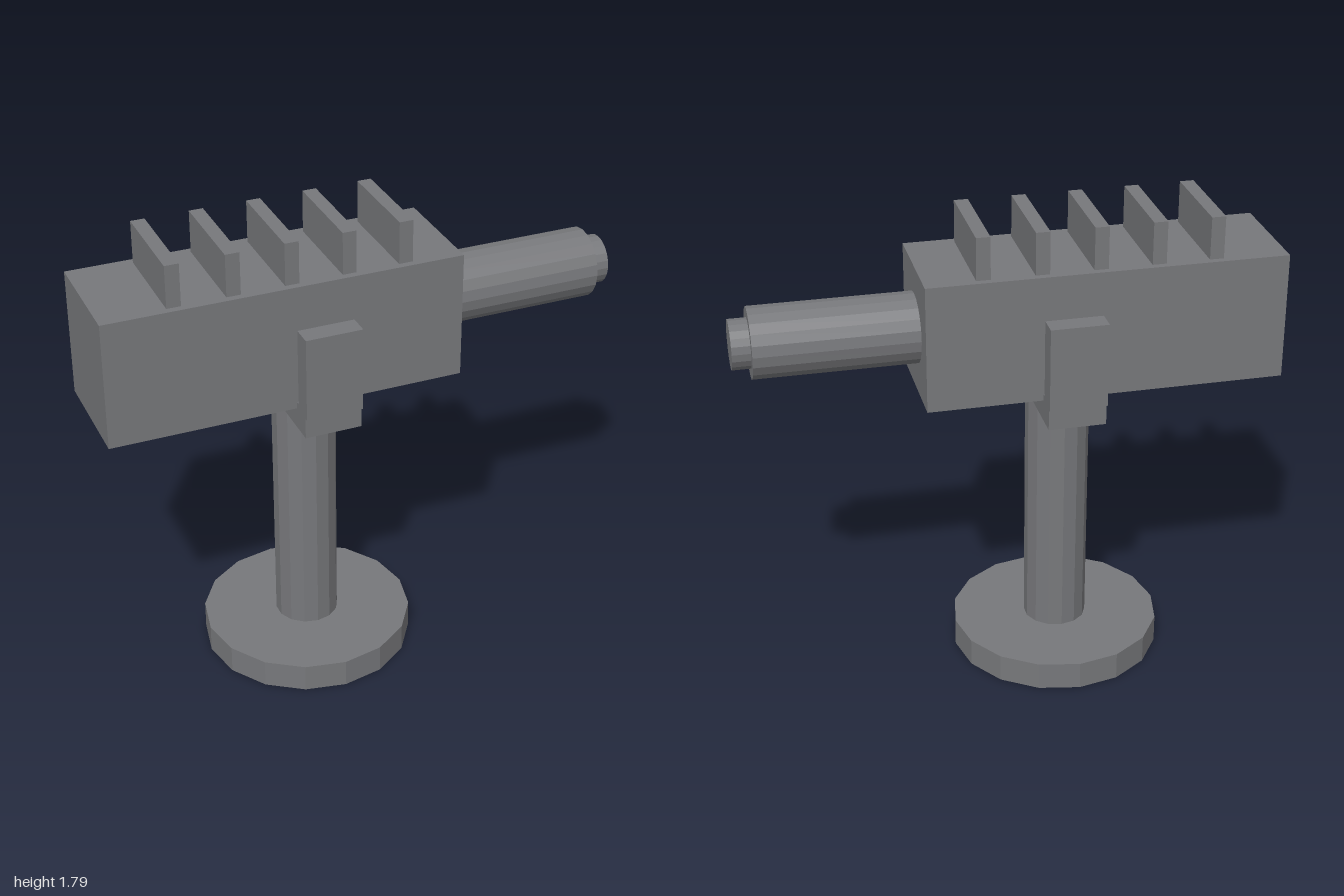
import * as THREE from 'three';

export function createModel() {
  const model = new THREE.Group();
  model.name = 'mountedDevice';
  const material = new THREE.MeshStandardMaterial({ color: 0x77787b, flatShading: true });

  function add(name, geometry, x, y, z) {
    const mesh = new THREE.Mesh(geometry, material);
    mesh.name = name;
    mesh.position.set(x, y, z);
    model.add(mesh);
    return mesh;
  }

  // Box given by its minimum and maximum on each axis
  const box = (name, [x0, x1], [y0, y1], [z0, z1]) =>
    add(name, new THREE.BoxGeometry(x1 - x0, y1 - y0, z1 - z0),
      (x0 + x1) / 2, (y0 + y1) / 2, (z0 + z1) / 2);

  // Upright cylinder on the stand axis
  const standX = -0.2;
  const upright = (name, radius, y0, y1, sides) =>
    add(name, new THREE.CylinderGeometry(radius, radius, y1 - y0, sides), standX, (y0 + y1) / 2, 0);

  // Cylinder lying along x on the barrel axis
  const barrelY = 1.388;
  const lying = (name, radius, x0, x1, sides) => {
    const geometry = new THREE.CylinderGeometry(radius, radius, x1 - x0, sides).rotateZ(-Math.PI / 2);
    return add(name, geometry, (x0 + x1) / 2, barrelY, 0);
  };

  // Stand
  upright('base', 0.4, 0, 0.107, 16);
  upright('post', 0.12, 0.1, 1.093, 14);

  // Yoke holding the body
  const yokeX = [-0.307, -0.093];
  box('yokeBar', yokeX, [1.067, 1.173], [-0.293, 0.293]);
  box('yokeArmFront', yokeX, [1.147, 1.467], [0.228, 0.307]);
  box('yokeArmBack', yokeX, [1.147, 1.467], [-0.307, -0.228]);

  // Body with cooling fins
  box('body', [-1, 0.333], [1.147, 1.627], [-0.213, 0.213]);
  for (let i = 0; i < 5; i++) {
    const x = -0.733 + i * 0.2133;
    box('fin', [x - 0.026, x + 0.026], [1.62, 1.787], [-0.187, 0.187]);
  }

  // Barrel and its narrower tip
  lying('barrel', 0.132, 0.32, 0.932, 20);
  lying('barrelTip', 0.092, 0.92, 1, 20);

  return model;
}
